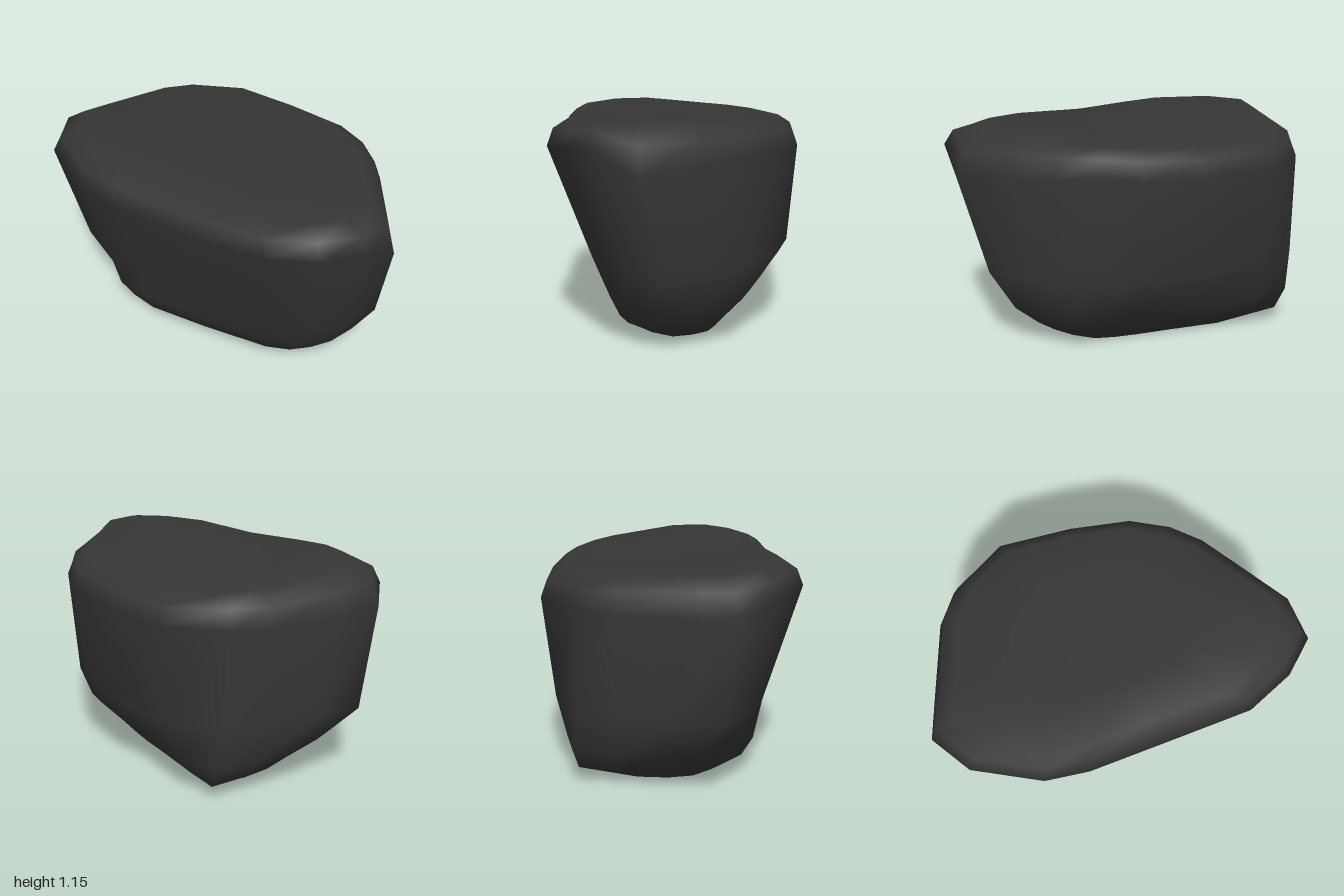
import * as THREE from 'three';
import { mergeVertices } from 'three/addons/utils/BufferGeometryUtils.js';

// Outlines as [x, z], running left corner -> back -> right -> front
const rim = [[-1, 0.03], [-0.9, -0.14], [-0.67, -0.51], [-0.52, -0.64], [-0.19, -0.75], [0.2, -0.64],
  [0.51, -0.5], [0.68, -0.34], [0.79, -0.18], [0.88, 0.05], [1, 0.36], [0.92, 0.58],
  [0.73, 0.69], [0.46, 0.74], [0, 0.65], [-0.4, 0.585], [-0.62, 0.52], [-0.91, 0.28]];
const middle = [[-0.95, -0.03], [-0.82, -0.25], [-0.65, -0.49], [-0.49, -0.65], [-0.2, -0.69], [0.2, -0.59],
  [0.49, -0.45], [0.65, -0.31], [0.75, -0.18], [0.84, 0], [0.92, 0.23], [0.82, 0.38],
  [0.67, 0.49], [0.42, 0.52], [0, 0.47], [-0.4, 0.39], [-0.6, 0.32], [-0.8, 0.18]];
const lower = [[-0.74, -0.05], [-0.7, -0.26], [-0.6, -0.46], [-0.45, -0.66], [-0.22, -0.64], [0.15, -0.46],
  [0.42, -0.32], [0.57, -0.24], [0.68, -0.17], [0.75, 0], [0.8, 0.18], [0.72, 0.32],
  [0.59, 0.41], [0.4, 0.43], [0, 0.41], [-0.38, 0.35], [-0.56, 0.29], [-0.69, 0.14]];
const foot = [[-0.6, -0.06], [-0.57, -0.24], [-0.51, -0.43], [-0.41, -0.62], [-0.2, -0.52], [0.1, -0.37],
  [0.33, -0.25], [0.46, -0.18], [0.56, -0.12], [0.63, 0], [0.67, 0.15], [0.6, 0.29],
  [0.5, 0.35], [0.37, 0.375], [0, 0.35], [-0.35, 0.31], [-0.5, 0.25], [-0.57, 0.12]];
const base = [[-0.52, -0.03], [-0.49, -0.16], [-0.43, -0.31], [-0.33, -0.43], [-0.16, -0.41], [0.08, -0.29],
  [0.27, -0.2], [0.38, -0.14], [0.47, -0.08], [0.54, 0.02], [0.58, 0.13], [0.52, 0.23],
  [0.43, 0.27], [0.32, 0.28], [0, 0.24], [-0.31, 0.23], [-0.43, 0.2], [-0.49, 0.09]];

// Height of the widest edge, which rises towards the front corners
const rimHeights = [0.97, 0.95, 0.95, 0.95, 0.95, 0.95, 0.97, 0.99, 0.97, 0.95, 0.92, 1.05,
  1.03, 1.01, 0.96, 0.98, 1.02, 1.02];

// Gently dished top and slightly uneven underside
const topY = (x, z) => 1.095 + 0.05 * Math.hypot(x, 0.15) + 0.035 * z;
const baseY = (x, z) => Math.max(0, 0.01 + 0.1 * z);
const rimY = (x, z, i) => rimHeights[i];
const bevelY = (x, z, i) => (rimHeights[i] + topY(x, z)) / 2 + 0.02;

// Scale an outline towards the axis
const shrink = (ring, s) => ring.map(([x, z]) => [x * s, z * s]);

function stoneGeometry() {
  const levels = [
    [shrink(base, 0), baseY],
    [shrink(base, 0.5), baseY],
    [base, baseY],
    [foot, () => 0.085],
    [lower, () => 0.2],
    [middle, () => 0.42],
    [rim, rimY],
    [shrink(rim, 0.955), bevelY],
    [shrink(rim, 0.85), topY],
    [shrink(rim, 0.5), topY],
    [shrink(rim, 0), topY],
  ];
  const n = rim.length;
  const last = levels.length - 1;
  const positions = [];
  const faces = [];
  levels.forEach(([ring, height], r) => {
    ring.forEach(([x, z], i) => {
      positions.push(x, height(x, z, i), z);
      const a = r * n + i, b = r * n + (i + 1) % n;
      // The first and last levels are single points
      if (r > 0 && r < last) faces.push(a, a + n, b);
      if (r < last - 1) faces.push(b, a + n, b + n);
    });
  });
  const geometry = new THREE.BufferGeometry();
  geometry.setAttribute('position', new THREE.Float32BufferAttribute(positions, 3));
  geometry.setIndex(faces);
  const welded = mergeVertices(geometry, 1e-4);
  welded.computeVertexNormals();
  return welded;
}

export function createModel() {
  const group = new THREE.Group();
  group.name = 'rock';
  const stone = new THREE.Mesh(stoneGeometry(), new THREE.MeshStandardMaterial({ color: 0x363636 }));
  stone.name = 'boulder';
  group.add(stone);
  return group;
}
